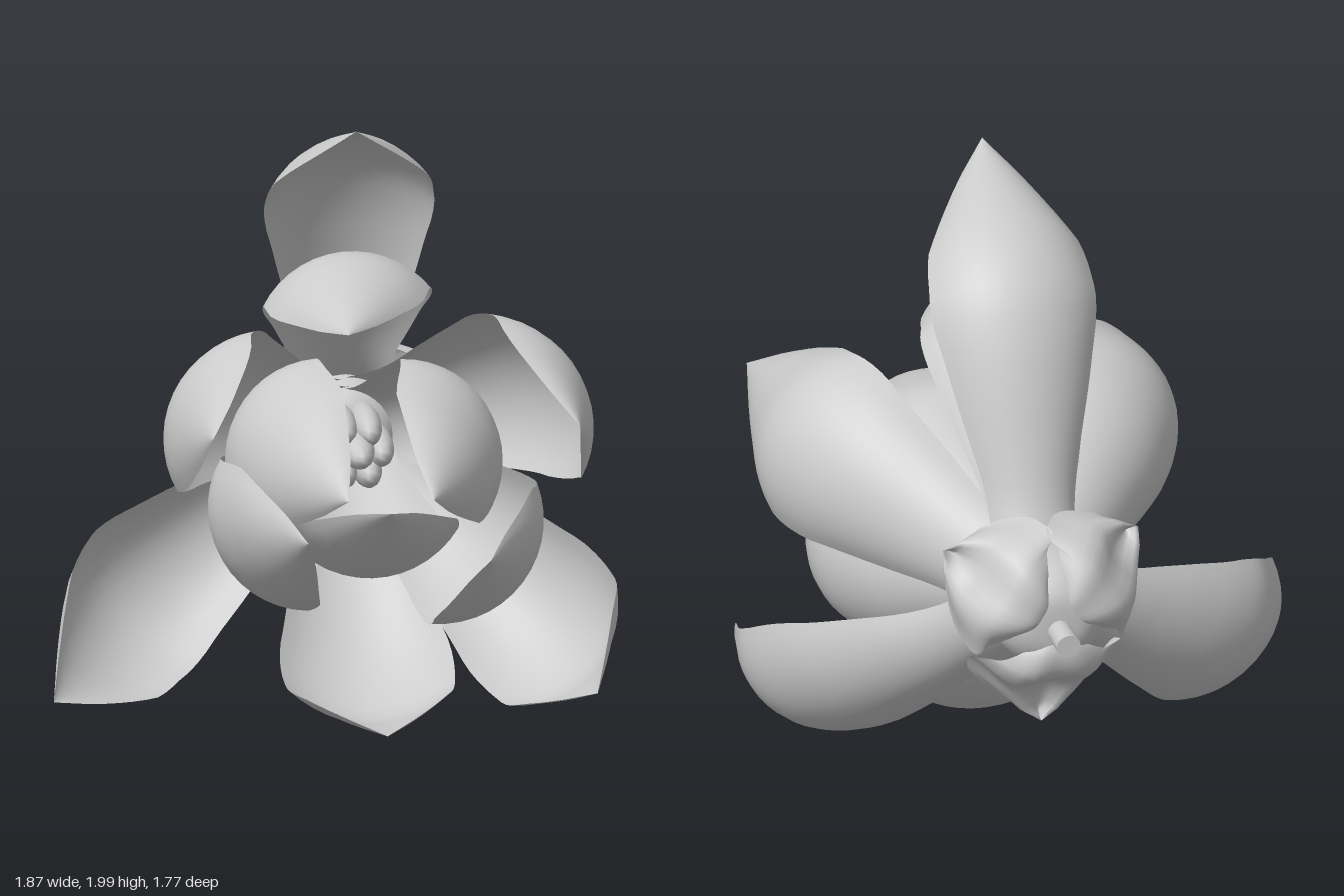
import * as THREE from 'three';
import { ParametricGeometry } from 'three/addons/geometries/ParametricGeometry.js';

const material = new THREE.MeshStandardMaterial({ color: 0xcccccc, side: THREE.DoubleSide });
const curve = (pts) => new THREE.CatmullRomCurve3(pts.map(([a, b]) => new THREE.Vector3(a, b, 0)), false, 'centripetal');

// Relative half-width along a leaf, from base to tip
const petalWidth = [[0, 0.5], [0.15, 0.5], [0.35, 0.78], [0.55, 1], [0.75, 0.92], [0.9, 0.45], [1, 0]];
const sepalWidth = [[0, 0.2], [0.25, 0.65], [0.5, 1], [0.75, 0.95], [0.92, 0.5], [1, 0]];
const lerpKeys = (keys, t) => {
  const i = Math.max(1, keys.findIndex((k) => k[0] >= t));
  const [a, b] = [keys[i - 1], keys[i]];
  return a[1] + (b[1] - a[1]) * (t - a[0]) / (b[0] - a[0]);
};

// Cupped leaf: spine of [radius, z] points in the plane at the given angle,
// cross-sections are arcs opening towards the flower axis
function leaf({ name, angle, spine, width, cup = 1, bend = 0, wave = 0, widths = petalWidth }) {
  const path = curve(spine);
  const th = THREE.MathUtils.degToRad(angle);
  const c = Math.cos(th), s = Math.sin(th);
  const geometry = new ParametricGeometry((u, t, target) => {
    const p = path.getPointAt(t), d = path.getTangentAt(t);
    const mid = lerpKeys(widths, t);
    const around = lerpKeys(widths, Math.max(0, t - 0.05)) + lerpKeys(widths, Math.min(1, t + 0.05));
    const w = width * (t > 0.9 ? mid : (around + 2 * mid) / 4);
    const a = cup * (u * 2 - 1);
    const side = w * Math.sin(a) / Math.sin(cup) + bend * t ** 3;
    const lift = w * (1 - Math.cos(a)) / Math.sin(cup) + wave * t * Math.cos((u * 2 - 1) * 7);
    const r = p.x - d.y * lift, z = p.y + d.x * lift;
    target.set(c * r - s * side, s * r + c * side, z);
  }, 14, 28);
  geometry.computeVertexNormals();
  const mesh = new THREE.Mesh(geometry, material);
  mesh.name = name;
  return mesh;
}

// Spine of a petal spread far out
const openSpine = (tipR) => [[0.1, -0.58], [0.27, -0.48], [0.44, -0.42], [0.65, -0.35],
  [0.82, -0.28], [0.96, -0.19], [1.08, -0.02], [tipR, 0.39]];

// Spine of a petal that swells to radius R and then closes towards its tip
const closedSpine = (R, tipR, tipZ, shift) => [
  [0.1, -0.58], [0.3 * R, -0.44 + shift / 3], [0.54 * R, -0.25 + shift], [0.85 * R, shift], [R, 0.22 + shift],
  [R + (tipR - R) * 0.3, 0.22 + shift + (tipZ - 0.22 - shift) * 0.45], [tipR, tipZ],
];

// name, angle, largest radius, tip radius, tip z, half-width, cup, sideways bend, z shift of the swelling
const closedPetals = [
  ['outerPetalBottom', 270, 0.79, 0.74, 0.76, 0.29, 0.75, 0, 0],
  ['outerPetalLowerLeft', -42.4, 0.98, 0.95, 0.64, 0.29, 0.9, 0, -0.08],
  ['middlePetalTop', 95, 0.75, 0.6, 0.71, 0.285, 1, 0.07, -0.06],
  ['middlePetalUpperRight', 155, 0.71, 0.63, 0.76, 0.3, 0.95, 0, 0],
  ['middlePetalUpperLeft', 27, 0.76, 0.69, 0.76, 0.32, 0.95, -0.036, 0],
  ['middlePetalLowerRight', 209, 0.55, 0.27, 0.8, 0.3, 1, -0.056, 0],
  ['middlePetalLowerLeft', -37, 0.61, 0.368, 0.76, 0.3, 1, 0.076, 0],
  ['innerPetalLeft', 32, 0.45, 0.157, 0.87, 0.29, 1, -0.015, 0],
  ['innerPetalRight', 153, 0.49, 0.157, 0.87, 0.29, 1, 0, 0],
  ['innerPetalBottom', 270, 0.33, -0.03, 0.88, 0.29, 1, 0, 0],
];

export function createModel() {
  const model = new THREE.Group();
  model.name = 'flower';
  const bloom = new THREE.Group();
  bloom.name = 'bloom';
  bloom.position.set(0.12, 0.8, 0);
  model.add(bloom);

  const add = (name, geometry, x, y, z) => {
    const mesh = new THREE.Mesh(geometry, material);
    mesh.name = name;
    mesh.position.set(x, y, z);
    bloom.add(mesh);
  };

  // Petals
  bloom.add(leaf({ name: 'outerPetalTop', angle: 92, spine: openSpine(1.2), width: 0.285, bend: 0.02 }));
  bloom.add(leaf({ name: 'outerPetalLowerRight', angle: 213, spine: openSpine(1.256), width: 0.29 }));
  for (const [name, angle, R, tipR, tipZ, width, cup, bend, shift] of closedPetals) {
    bloom.add(leaf({ name, angle, width, cup, bend, spine: closedSpine(R, tipR, tipZ, shift) }));
  }

  // Three broad sepals with wavy, flared ends; the lowest is the longest
  for (const [angle, tipR] of [[32, 0.37], [148, 0.37], [270, 0.45]]) {
    bloom.add(leaf({
      name: 'sepal', widths: sepalWidth, angle, width: 0.25, cup: 0.85, wave: 0.025,
      spine: [[0.03, -0.76], [0.1, -0.79], [0.19, -0.77], [0.26, -0.69], [0.3, -0.61], [tipR, -0.53]],
    }));
  }

  // Receptacle, turned about the flower axis
  const profile = [[0, -0.78], [0.1, -0.77], [0.17, -0.71], [0.2, -0.6], [0.18, -0.48], [0.12, -0.4], [0, -0.37]];
  const outline = curve(profile).getPoints(24).map((p) => new THREE.Vector2(Math.max(0, p.x), p.y));
  add('receptacle', new THREE.LatheGeometry(outline, 28).rotateX(Math.PI / 2), 0, 0, 0);

  // Stem stub
  add('stem', new THREE.CylinderGeometry(0.04, 0.04, 0.16, 16).rotateX(Math.PI / 2), 0, -0.02, -0.81);

  // Pistil surrounded by rounded stamens
  add('pistil', new THREE.SphereGeometry(1, 16, 12).scale(0.06, 0.06, 0.24), 0, 0.01, -0.22);
  for (let i = 0; i < 6; i++) {
    const a = i * Math.PI / 3;
    add('stamen', new THREE.SphereGeometry(1, 14, 10).scale(0.05, 0.06, 0.2), 0.08 * Math.cos(a), 0.08 * Math.sin(a), -0.27);
  }
  return model;
}
